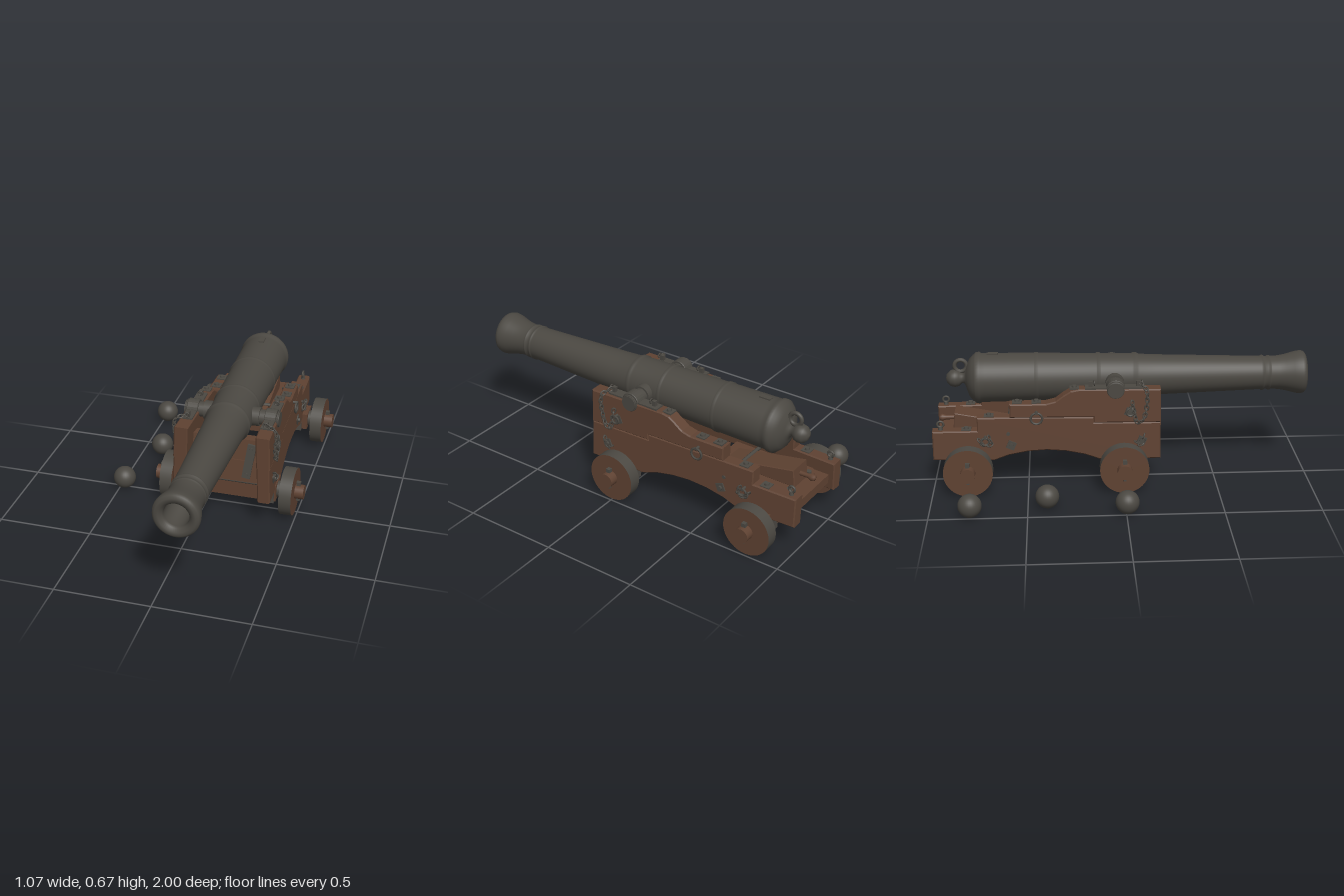
import * as THREE from 'three';

const CX = 0.127; // the gun sits to the side of the shot
const AXIS_Y = 0.533;
const TRUNNION_Z = -0.035;

const wood = new THREE.MeshStandardMaterial({ color: 0x5f4232 });
wood.name = 'oak';
const iron = new THREE.MeshStandardMaterial({ color: 0x4b4842 });
iron.name = 'iron';

// Sideways offset of a cheek's middle: it toes in to the rear and leans in at the top
const cheekX = (z, y) => 0.223 + 0.028 * (z - 0.2) - 0.038 * (y - 0.345);
const outer = (z, y) => cheekX(z, y) + 0.036;

function add(parent, name, geometry, material, x = 0, y = 0, z = 0) {
  const mesh = new THREE.Mesh(geometry, material);
  mesh.name = name;
  mesh.position.set(x, y, z);
  parent.add(mesh);
  return mesh;
}
const box = (w, h, d) => new THREE.BoxGeometry(w, h, d);
const rodX = (r, len, seg = 16) => new THREE.CylinderGeometry(r, r, len, seg).rotateZ(Math.PI / 2);

// Side profile [z, y] extruded across x, with softened edges
function profile(points, width, bevel = 0.006) {
  const shape = new THREE.Shape(points.map(([z, y]) => new THREE.Vector2(z, y)));
  const geometry = new THREE.ExtrudeGeometry(shape, {
    depth: width - 2 * bevel, bevelSize: bevel, bevelOffset: -bevel,
    bevelThickness: bevel, bevelSegments: 1,
  });
  return geometry.translate(0, 0, bevel - width / 2).rotateY(-Math.PI / 2);
}

function cheekPlank(points, width, s) {
  const geometry = profile(points, width);
  const p = geometry.attributes.position;
  for (let i = 0; i < p.count; i++) p.setX(i, p.getX(i) + s * cheekX(p.getZ(i), p.getY(i)));
  geometry.computeVertexNormals();
  return geometry;
}

// Alternating links along a curve
function chain(parent, name, points, links) {
  const group = new THREE.Group();
  group.name = name;
  const curve = new THREE.CatmullRomCurve3(points.map((p) => new THREE.Vector3(...p)));
  const link = new THREE.TorusGeometry(0.0105, 0.0035, 6, 12).scale(1.45, 1, 1);
  for (let i = 0; i < links; i++) {
    const t = i / (links - 1);
    const mesh = add(group, 'chainLink', link, iron);
    mesh.position.copy(curve.getPointAt(t));
    mesh.quaternion.setFromUnitVectors(new THREE.Vector3(1, 0, 0), curve.getTangentAt(t));
    mesh.rotateX((i % 2) * Math.PI / 2 + 0.4);
  }
  parent.add(group);
}

function buildBarrel(gun) {
  // Breech to muzzle, then back into the bore: [radius, z]
  const pts = [
    [0, -0.93], [0.022, -0.925], [0.043, -0.905], [0.048, -0.88], [0.042, -0.86], [0.028, -0.845],
    [0.03, -0.83], [0.06, -0.82], [0.1, -0.805], [0.122, -0.785], [0.129, -0.775], [0.137, -0.768],
    [0.138, -0.75], [0.131, -0.74], [0.131, -0.72], [0.128, -0.46], [0.132, -0.455], [0.132, -0.44],
    [0.127, -0.435], [0.121, -0.13], [0.126, -0.125], [0.126, -0.11], [0.12, -0.105], [0.117, 0.06],
    [0.122, 0.07], [0.122, 0.085], [0.113, 0.1], [0.108, 0.2], [0.09, 0.755], [0.095, 0.762],
    [0.095, 0.77], [0.089, 0.776], [0.089, 0.79], [0.094, 0.797], [0.094, 0.804], [0.089, 0.81],
    [0.091, 0.85], [0.098, 0.89], [0.109, 0.93], [0.115, 0.955], [0.117, 0.975], [0.113, 0.99],
    [0.1, 1], [0.083, 0.998], [0.067, 0.985], [0.063, 0.97], [0.063, 0.75], [0, 0.75],
  ].map(([r, z]) => new THREE.Vector2(r, z));
  add(gun, 'barrel', new THREE.LatheGeometry(pts, 48).rotateX(Math.PI / 2), iron, 0, AXIS_Y, 0);
  add(gun, 'trunnions', rodX(0.04, 0.51, 24), iron, 0, AXIS_Y, TRUNNION_Z);
  add(gun, 'trunnionShoulders', rodX(0.05, 0.3, 24), iron, 0, AXIS_Y, TRUNNION_Z);
  const ring = new THREE.TorusGeometry(0.032, 0.011, 10, 24).rotateY(Math.PI / 2);
  add(gun, 'breechRing', ring, iron, 0, 0.602, -0.85);
  add(gun, 'ventPatch', box(0.03, 0.012, 0.06), iron, 0, 0.663, -0.68);
}

function buildWheels(gun) {
  for (const z of [0.005, -0.81]) {
    add(gun, 'axleTree', box(0.53, 0.095, 0.12), wood, 0, 0.137, z);
    add(gun, 'axle', rodX(0.039, 0.815, 24), wood, 0, 0.135, z);
    for (const s of [-1, 1]) {
      const wheel = new THREE.CylinderGeometry(0.129, 0.129, 0.066, 40).rotateZ(Math.PI / 2);
      add(gun, 'wheel', wheel, [iron, wood, wood], s * 0.327, 0.131, z);
      add(gun, 'axleCollar', rodX(0.044, 0.04, 20), iron, s * 0.275, 0.135, z);
      add(gun, 'linchpin', box(0.018, 0.115, 0.014), iron, s * 0.376, 0.137, z);
      add(gun, 'linchpinHead', box(0.022, 0.02, 0.022), iron, s * 0.376, 0.185, z);
      add(gun, 'axleStrap', box(0.06, 0.075, 0.136), iron, s * cheekX(z, 0.12), 0.118, z);
      for (const dz of [-0.045, 0.045]) {
        add(gun, 'axleBolt', new THREE.CylinderGeometry(0.012, 0.012, 0.012, 8), iron,
          s * cheekX(z, 0.1), 0.078, z + dz);
      }
    }
  }
}

function buildCheek(gun, s) {
  const upper = [[0.2, 0.357], [0.2, 0.538], [-0.23, 0.538], [-0.27, 0.53], [-0.31, 0.505],
    [-0.35, 0.475], [-0.4, 0.462], [-0.59, 0.46], [-0.59, 0.388], [-0.15, 0.388], [-0.15, 0.357]];
  const lower = [[0.2, 0.155], [0.2, 0.357], [-0.15, 0.357], [-0.15, 0.388], [-0.762, 0.388],
    [-0.762, 0.315], [-0.998, 0.313], [-0.998, 0.155], [-0.675, 0.152], [-0.6, 0.18], [-0.5, 0.2],
    [-0.4, 0.207], [-0.3, 0.2], [-0.2, 0.18], [-0.12, 0.152]];
  add(gun, 'upperCheek', cheekPlank(upper, 0.074, s), wood);
  add(gun, 'lowerCheek', cheekPlank(lower, 0.068, s), wood);

  // Strap over the trunnion
  const arch = [];
  for (let i = 0; i <= 12; i++) {
    const a = Math.PI * i / 12;
    arch.push([TRUNNION_Z + 0.05 * Math.cos(a), 0.535 + 0.05 * Math.sin(a)]);
  }
  const cx = s * cheekX(0, 0.54);
  add(gun, 'trunnionCap', profile(arch, 0.06, 0.003), iron, cx, 0, 0);
  add(gun, 'capPlate', box(0.056, 0.012, 0.3), iron, cx, 0.54, -0.045);
  for (const z of [0.085, -0.165]) {
    add(gun, 'capKey', box(0.02, 0.035, 0.02), iron, cx, 0.556, z);
    const eye = new THREE.TorusGeometry(0.012, 0.004, 6, 14);
    add(gun, 'capEye', eye, iron, cx, 0.565, z + 0.02);
  }
  const trunnionRim = new THREE.TorusGeometry(0.041, 0.005, 6, 28).rotateY(Math.PI / 2);
  add(gun, 'trunnionRim', trunnionRim, iron, s * outer(TRUNNION_Z, 0.53), AXIS_Y, TRUNNION_Z);

  // Plates and bolts along the stepped top
  for (const [z, y] of [[-0.25, 0.538], [-0.45, 0.463], [-0.55, 0.463], [-0.7, 0.389], [-0.82, 0.315]]) {
    add(gun, 'topPlate', box(0.05, 0.008, 0.05), iron, s * cheekX(z, y), y, z);
    add(gun, 'topBolt', new THREE.CylinderGeometry(0.012, 0.014, 0.012, 8), iron, s * cheekX(z, y), y + 0.008, z);
  }
  // Ring bolts and bolt plates on the outer face
  const ringBolt = (z, y, r) => {
    const x = outer(z, y);
    add(gun, 'ringBolt', rodX(0.008, 0.035, 8), iron, s * (x + 0.008), y + r, z);
    add(gun, 'boltRing', new THREE.TorusGeometry(r, 0.006, 6, 20).rotateY(Math.PI / 2), iron,
      s * (x + 0.018), y, z);
  };
  ringBolt(-0.45, 0.39, 0.03);
  ringBolt(0.04, 0.42, 0.02);
  ringBolt(-0.72, 0.265, 0.02);
  for (const [z, y] of [[0.1, 0.257], [-0.585, 0.237], [0.035, 0.415]]) {
    const plate = add(gun, 'boltPlate', box(0.008, 0.044, 0.044), iron, s * outer(z, y), y, z);
    plate.rotation.x = 0.4;
    add(gun, 'boltHead', rodX(0.013, 0.03, 8), iron, s * outer(z, y), y, z);
  }
  const eye = new THREE.TorusGeometry(0.016, 0.006, 8, 18).rotateY(Math.PI / 2);
  add(gun, 'rearEye', eye, iron, s * cheekX(-0.95, 0.34), 0.343, -0.955);
  add(gun, 'rearEyeBase', new THREE.CylinderGeometry(0.01, 0.014, 0.02, 8), iron, s * cheekX(-0.95, 0.31), 0.32, -0.955);

  // Hanging chains
  const x = s * 0.268;
  chain(gun, 'keyChain', [[s * 0.225, 0.56, 0.1], [x, 0.54, 0.123], [x, 0.43, 0.122], [x, 0.37, 0.1],
    [x, 0.365, 0.075], [x, 0.42, 0.06], [x, 0.47, 0.05]], 18);
  chain(gun, 'shortChain', [[x, 0.285, 0.11], [x, 0.24, 0.095], [x, 0.25, 0.075]], 4);
  const rx = s * (outer(-0.7, 0.26) + 0.014);
  chain(gun, 'rearChain', [[rx, 0.285, -0.7], [rx, 0.25, -0.69], [rx, 0.245, -0.73], [rx, 0.27, -0.75]], 6);
}

function buildBed(gun) {
  // Front transom of two boards with iron straps
  const transom = new THREE.Group();
  transom.name = 'transom';
  add(transom, 'lowerTransomBoard', box(0.4, 0.122, 0.07), wood, 0, -0.061, 0);
  add(transom, 'upperTransomBoard', box(0.37, 0.118, 0.064), wood, 0, 0.06, -0.002);
  for (const s of [-1, 1]) {
    const strap = add(transom, 'transomStrap', box(0.045, 0.195, 0.014), iron, s * 0.127, 0, 0.037);
    strap.rotation.z = -s * 0.14;
    strap.rotation.z *= -1 * -1;
    for (const t of [-0.075, 0.075]) {
      const bolt = new THREE.CylinderGeometry(0.01, 0.01, 0.01, 8).rotateX(Math.PI / 2);
      add(strap, 'strapBolt', bolt, iron, 0, t, 0.01);
    }
  }
  transom.position.set(0, 0.334, 0.07);
  transom.rotation.x = -0.1;
  gun.add(transom);

  // Cross rods between the cheeks
  for (const [z, y] of [[0.08, 0.196], [-0.6, 0.3]]) add(gun, 'crossRod', rodX(0.01, 0.48, 10), iron, 0, y, z);
  // Bed, wedge and its handle under the breech
  add(gun, 'bed', box(0.27, 0.05, 0.54), wood, 0, 0.235, -0.71);
  add(gun, 'rearTransom', box(0.33, 0.07, 0.1), wood, 0, 0.21, -0.83);
  add(gun, 'wedge', profile([[-0.5, 0.26], [-0.9, 0.26], [-0.89, 0.355], [-0.5, 0.28]].reverse(), 0.13, 0.004), wood);
  const grip = new THREE.LatheGeometry([[0, -0.06], [0.015, -0.055], [0.02, -0.04], [0.012, -0.02], [0.012, 0.03]]
    .map(([r, h]) => new THREE.Vector2(r, h)), 14).rotateX(Math.PI / 2);
  add(gun, 'wedgeHandle', grip, wood, 0, 0.31, -0.92);
  for (const s of [-1, 1]) {
    add(gun, 'bedBolt', new THREE.CylinderGeometry(0.014, 0.014, 0.012, 8), iron, s * 0.095, 0.264, -0.89);
  }
}

export function createModel() {
  const model = new THREE.Group();
  model.name = 'cannon';
  const gun = new THREE.Group();
  gun.name = 'gunAndCarriage';
  gun.position.x = CX;
  model.add(gun);
  buildBarrel(gun);
  buildWheels(gun);
  buildBed(gun);
  for (const s of [-1, 1]) buildCheek(gun, s);
  // Spare shot on the ground
  for (const [x, z] of [[-0.475, -0.79], [-0.385, -0.4], [-0.475, 0.005]]) {
    add(model, 'cannonball', new THREE.SphereGeometry(0.061, 28, 20), iron, x, 0.063, z);
  }
  return model;
}
